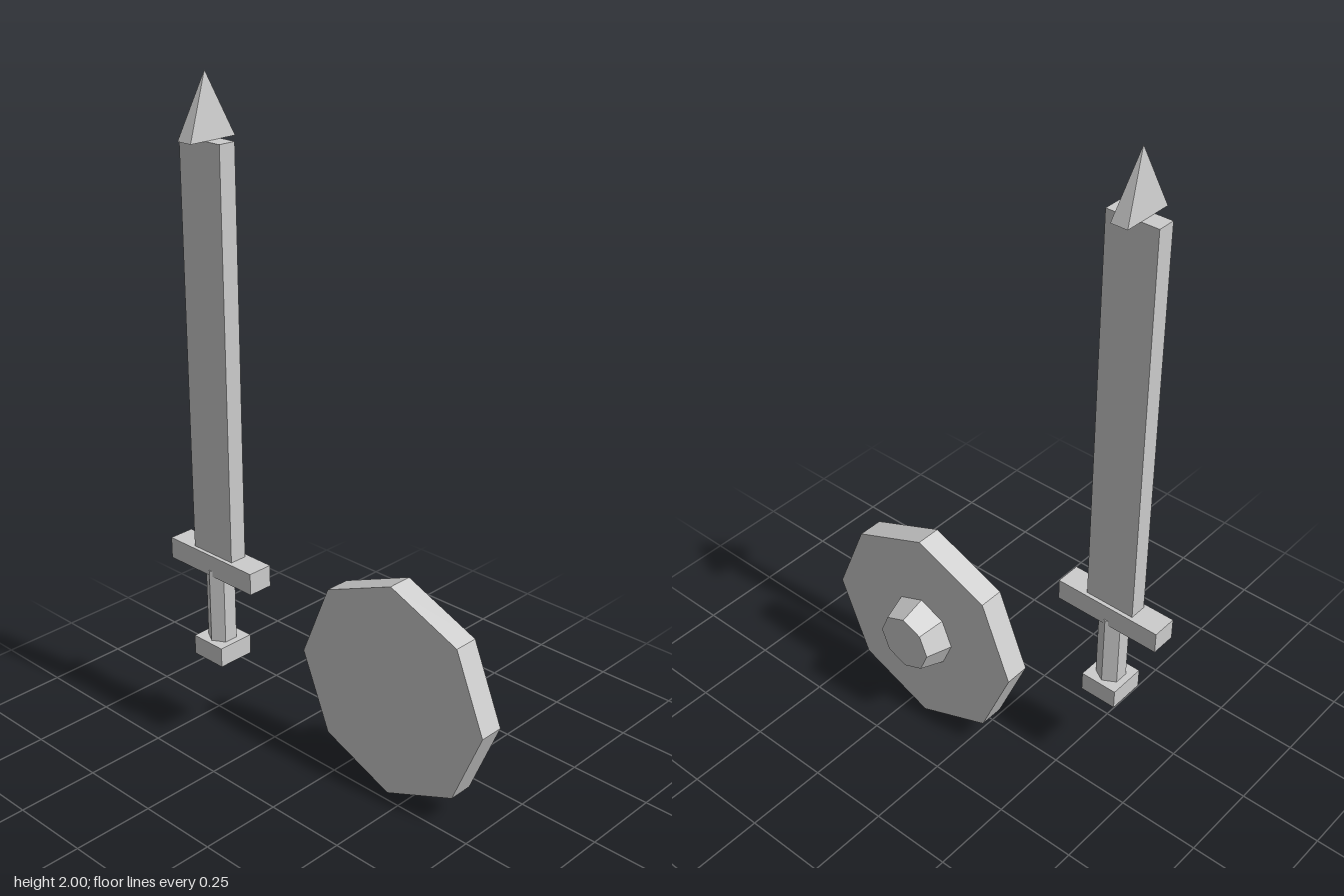
import * as THREE from 'three';

export function createModel() {
  const model = new THREE.Group();
  const grey = new THREE.MeshStandardMaterial({ color: 0xcccccc });
  grey.name = 'lightGrey';

  function add(parent, name, geometry, x, y, z) {
    // separate corners give every facet its own flat normal
    const flat = geometry.index ? geometry.toNonIndexed() : geometry;
    flat.computeVertexNormals();
    const mesh = new THREE.Mesh(flat, grey);
    mesh.name = name;
    mesh.position.set(x, y, z);
    parent.add(mesh);
    return mesh;
  }

  // Sword, upright, its broad side facing x
  const sword = new THREE.Group();
  sword.name = 'sword';
  sword.position.set(-0.105, 0, -0.355);
  model.add(sword);

  add(sword, 'pommel', new THREE.BoxGeometry(0.115, 0.06, 0.115), 0, 0.327, 0);
  add(sword, 'grip', new THREE.CylinderGeometry(0.043, 0.043, 0.235, 6, 1, false, Math.PI / 2), 0, 0.4675, 0);
  add(sword, 'crossGuard', new THREE.BoxGeometry(0.077, 0.065, 0.334), 0, 0.601, 0);
  add(sword, 'blade', new THREE.BoxGeometry(0.053, 1.192, 0.155), 0, 1.229, 0);

  // Square pyramid, flattened in z
  const point = new THREE.ConeGeometry(Math.SQRT1_2, 0.175, 4, 1, false, Math.PI / 4);
  point.scale(0.154, 1, 0.05);
  add(sword, 'bladePoint', point, 0, 1.9125, 0);

  // Octagonal shield with a tapered boss, axis along x
  const shield = new THREE.Group();
  shield.name = 'shield';
  shield.position.set(0, 0.335, 0.187);
  model.add(shield);

  const disc = new THREE.CylinderGeometry(0.335, 0.335, 0.076, 8);
  disc.rotateZ(-Math.PI / 2);
  add(shield, 'shieldDisc', disc, 0.063, 0, 0);

  const boss = new THREE.CylinderGeometry(0.09, 0.115, 0.078, 8);
  boss.rotateZ(-Math.PI / 2);
  add(shield, 'shieldBoss', boss, 0.14, 0, 0);

  return model;
}
